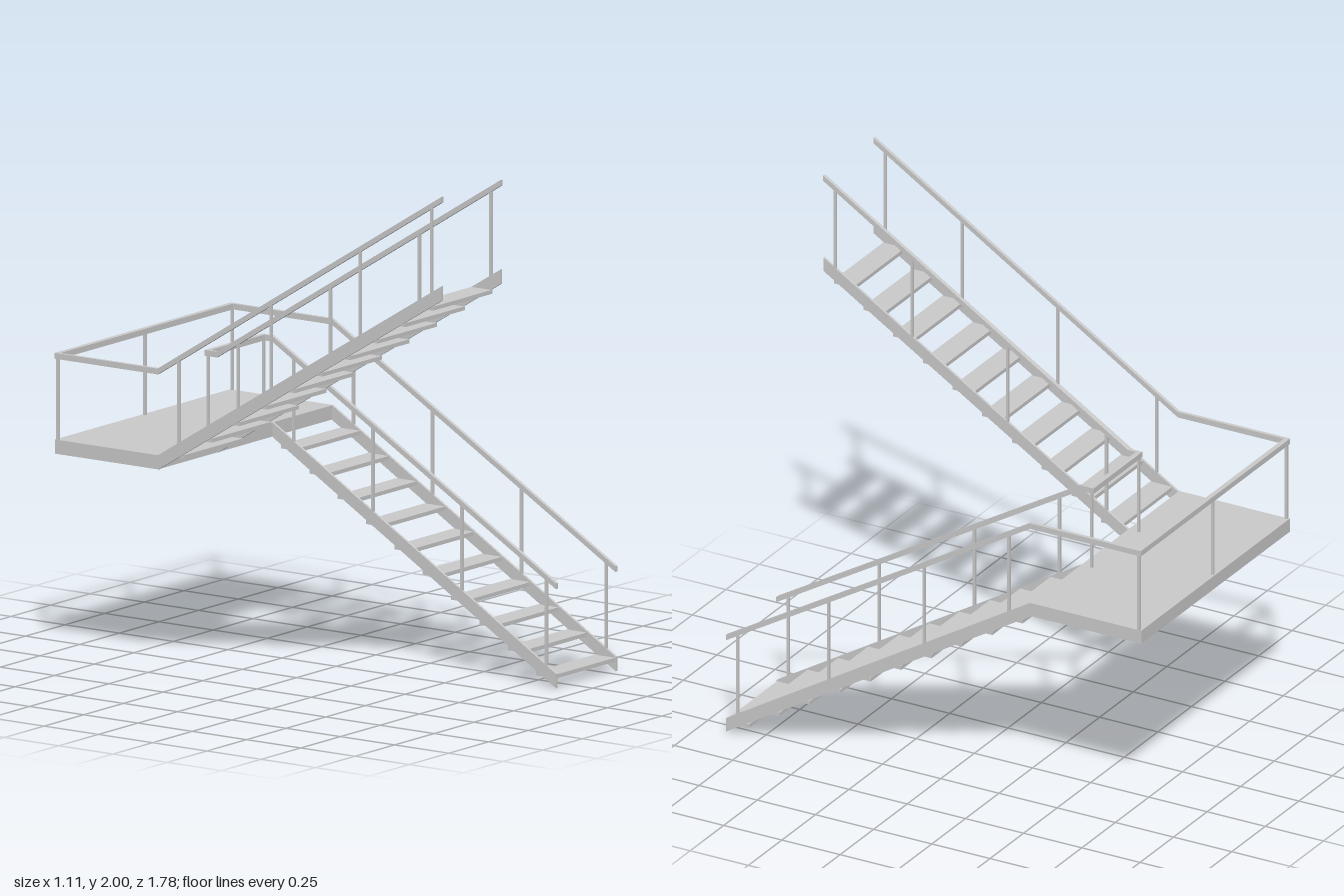
import * as THREE from 'three';

const mat = new THREE.MeshStandardMaterial({ color: 0xcccccc, flatShading: true, side: THREE.DoubleSide });
const END = 0.893, LAND = -0.415, BACK = -0.89, INNER_BACK = -0.47;

// Two flights: the lower rises to the back, the upper rises to the front
const lower = {
  name: 'lower', outer: 0.546, inner: 0.17, stringerEnd: 0.06, railEnd: 0.405,
  posts: [0.845, 0.455, 0.045, -0.32], treadZ: 0.843, treadStep: -0.1305, treadY: 0.049, treadRise: 0.0795,
};
const upper = {
  name: 'upper', outer: -0.553, inner: -0.18, stringerEnd: 1.66, railEnd: 2.0,
  posts: [0.845, 0.515, 0.105, -0.32], treadZ: -0.343, treadStep: 0.1275, treadY: 0.859, treadRise: 0.0789,
};
const LAND_TOP = 0.852, RAIL_TOP = 1.182;

export function createModel() {
  const model = new THREE.Group();

  const add = (parent, name, geometry) => {
    const mesh = new THREE.Mesh(geometry, mat);
    mesh.name = name;
    parent.add(mesh);
    return mesh;
  };
  const box = (parent, name, w, h, d, x, y, z) =>
    add(parent, name, new THREE.BoxGeometry(w, h, d)).position.set(x, y, z);

  // Band following a path of [z, topY] points, with given depth and width in x
  const band = (parent, name, path, height, width, x) => {
    const top = path.map(([z, y]) => new THREE.Vector2(-z, y));
    const bottom = path.map(([z, y]) => new THREE.Vector2(-z, y - height)).reverse();
    const g = new THREE.ExtrudeGeometry(new THREE.Shape([...top, ...bottom]), { depth: width, bevelEnabled: false });
    g.rotateY(Math.PI / 2).translate(x - width / 2, 0, 0);
    add(parent, name, g);
  };
  const post = (parent, x, z, y0, y1) =>
    box(parent, 'post', 0.01, y1 - y0, 0.01, x, (y0 + y1) / 2, z);

  // Landing
  box(model, 'landing', 1.106, 0.054, LAND - BACK, -0.0035, LAND_TOP - 0.027, (LAND + BACK) / 2);

  for (const f of [lower, upper]) {
    const flight = new THREE.Group();
    flight.name = f.name + 'Flight';
    model.add(flight);

    for (const [x, back] of [[f.outer, BACK], [f.inner, INNER_BACK]]) {
      band(flight, 'stringer', [[END, f.stringerEnd], [LAND, LAND_TOP]], 0.055, 0.01, x);
      band(flight, 'handrail', [[END, f.railEnd], [LAND, RAIL_TOP], [back, RAIL_TOP]], 0.022, 0.014, x);
      // Posts between stringer and handrail
      for (const z of f.posts) {
        const t = (z - LAND) / (END - LAND);
        post(flight, x, z,
          THREE.MathUtils.lerp(LAND_TOP, f.stringerEnd, t) - 0.025,
          THREE.MathUtils.lerp(RAIL_TOP, f.railEnd, t) - 0.01);
      }
      // Corner post on the landing
      post(flight, x, back + 0.012, LAND_TOP - 0.01, RAIL_TOP - 0.01);
    }

    // Open treads
    const width = Math.abs(f.outer - f.inner);
    for (let i = 0; i < 10; i++) {
      box(flight, 'tread', width, 0.015, 0.094, (f.outer + f.inner) / 2,
        f.treadY + i * f.treadRise, f.treadZ + i * f.treadStep);
    }
  }

  // Level rails joining the two flights
  const crossRail = (name, a, b, z) =>
    box(model, name, a - b + 0.014, 0.022, 0.02, (a + b) / 2, RAIL_TOP - 0.011, z + 0.01);
  crossRail('backRail', lower.outer, upper.outer, BACK);
  crossRail('innerRail', lower.inner, upper.inner, INNER_BACK);
  post(model, -0.004, BACK + 0.012, LAND_TOP - 0.01, RAIL_TOP - 0.01);

  return model;
}
